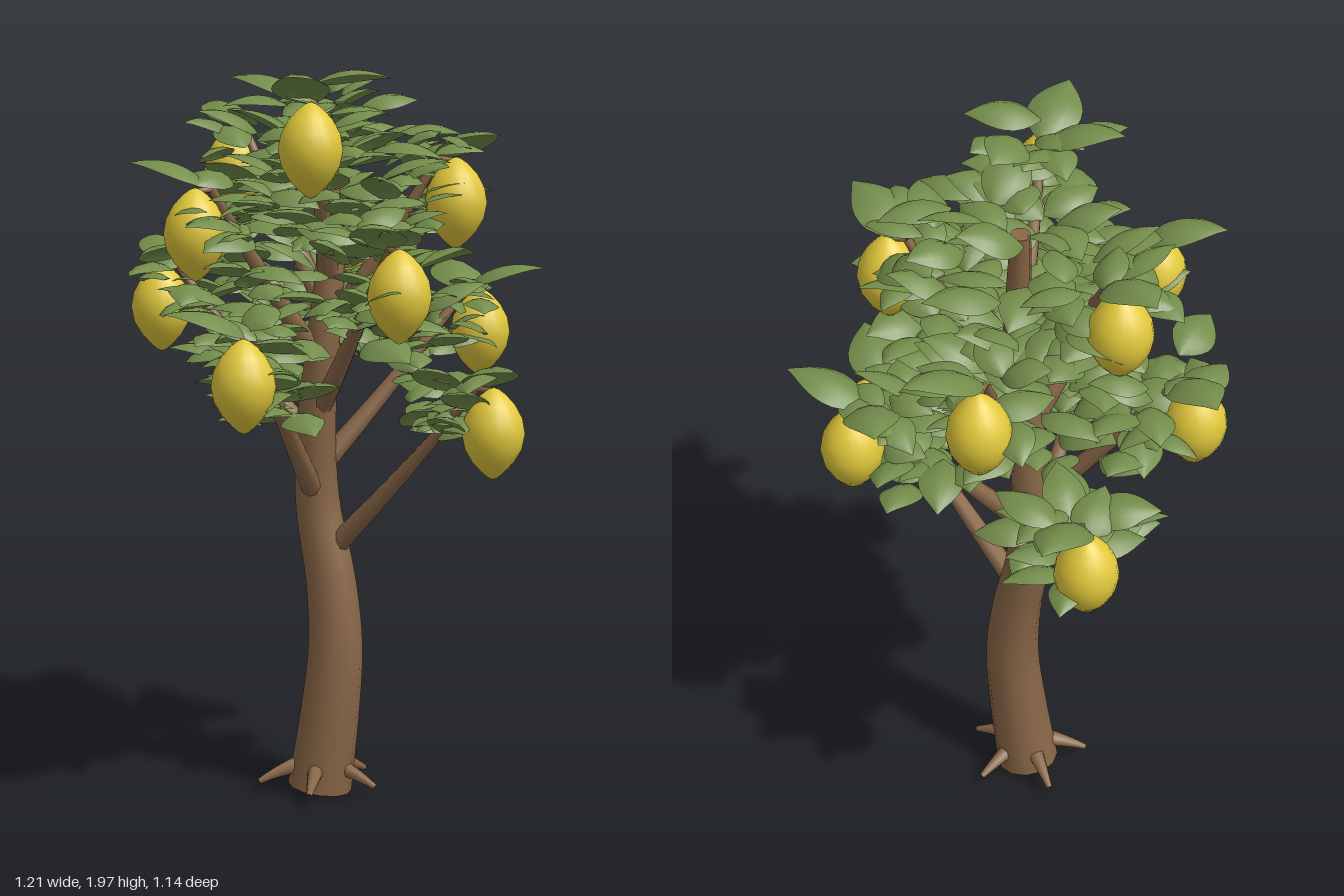
import * as THREE from 'three';
import { mergeGeometries } from 'three/addons/utils/BufferGeometryUtils.js';

const V = (x, y, z) => new THREE.Vector3(x, y, z);
const material = (name, color, side = THREE.FrontSide) => {
  const m = new THREE.MeshStandardMaterial({ color, side });
  m.name = name;
  return m;
};

// Small seeded random generator
let seed = 7;
const rand = () => {
  seed = (seed * 16807) % 2147483647;
  return seed / 2147483647;
};
const spread = (s) => (rand() * 2 - 1) * s;

// Tube whose rings shrink from r0 to r1 along the curve
function taperTube(curve, r0, r1, rings, sides) {
  const g = new THREE.TubeGeometry(curve, rings, 1, sides);
  const p = g.attributes.position;
  for (let i = 0; i <= rings; i++) {
    const c = curve.getPointAt(i / rings);
    const r = r0 + (r1 - r0) * (i / rings);
    for (let j = 0; j <= sides; j++) {
      const k = i * (sides + 1) + j;
      const v = V().fromBufferAttribute(p, k).sub(c).multiplyScalar(r).add(c);
      p.setXYZ(k, v.x, v.y, v.z);
    }
  }
  return g;
}

// Flat disc closing the end of a tube
function endCap(curve, t, r, sides) {
  const dir = curve.getTangentAt(t).multiplyScalar(t > 0.5 ? 1 : -1);
  const g = new THREE.CircleGeometry(r, sides);
  g.applyQuaternion(new THREE.Quaternion().setFromUnitVectors(V(0, 0, 1), dir));
  const c = curve.getPointAt(t);
  return g.translate(c.x, c.y, c.z);
}

// Unit-length leaf along +z: arched lengthwise, sides sloping down from the midrib
function leafGeometry() {
  const halfWidths = [0.02, 0.15, 0.24, 0.295, 0.31, 0.295, 0.25, 0.18, 0.09, 0];
  const n = halfWidths.length - 1;
  const g = new THREE.PlaneGeometry(1, 1, 4, n);
  const p = g.attributes.position;
  for (let i = 0; i <= n; i++) {
    const t = i / n;
    for (let j = 0; j < 5; j++) {
      const s = (j - 2) / 2;
      const w = halfWidths[i];
      p.setXYZ(i * 5 + j, s * w, 0.5 * t - 0.62 * t * t - 0.4 * w * s * s, t);
    }
  }
  g.computeVertexNormals();
  return g;
}

export function createModel() {
  const bark = material('bark brown', 0x896747);
  const leafGreen = material('leaf green', 0x738c4b, THREE.DoubleSide);
  const lemonYellow = material('lemon yellow', 0xe2c93c);

  const tree = new THREE.Group();
  tree.name = 'lemonTree';
  const add = (name, geometry, mat, parent = tree) => {
    const m = new THREE.Mesh(geometry, mat);
    m.name = name;
    parent.add(m);
    return m;
  };

  // Trunk: gently swaying tapered tube with closed ends
  const trunk = new THREE.CatmullRomCurve3([
    V(-0.018, 0.018, -0.013), V(0.01, 0.23, -0.02), V(0.022, 0.42, -0.03), V(0.004, 0.6, -0.035),
    V(-0.035, 0.8, -0.035), V(-0.033, 1, -0.02), V(-0.005, 1.25, -0.008), V(0.01, 1.45, -0.02),
    V(0, 1.65, -0.03), V(-0.015, 1.82, -0.045),
  ]);
  add('trunk', mergeGeometries([
    taperTube(trunk, 0.088, 0.026, 40, 12),
    endCap(trunk, 0, 0.088, 12),
    endCap(trunk, 1, 0.026, 12),
  ]), bark);
  const trunkPoints = trunk.getPoints(300);

  // Five short roots around the foot
  for (let i = 0; i < 5; i++) {
    const a = (i * Math.PI * 2) / 5;
    const at = (r, y) => V(-0.015 + Math.cos(a) * r, y, -0.012 + Math.sin(a) * r);
    const curve = new THREE.QuadraticBezierCurve3(at(0.05, 0.085), at(0.11, 0.07), at(0.17, 0.038));
    add('root', taperTube(curve, 0.026, 0.008, 6, 8), bark);
  }

  // Lemon profile with pointed ends
  const lemon = new THREE.LatheGeometry([
    [0, -0.122], [0.012, -0.117], [0.03, -0.102], [0.055, -0.075], [0.075, -0.04], [0.083, 0],
    [0.076, 0.04], [0.057, 0.075], [0.032, 0.102], [0.014, 0.115], [0, 0.12],
  ].map(([x, y]) => new THREE.Vector2(x, y)), 20);

  const leaf = leafGeometry();
  const placedLeaf = (pos, yaw, pitch, roll, length) => leaf.clone().applyMatrix4(
    new THREE.Matrix4().compose(
      pos,
      new THREE.Quaternion().setFromEuler(new THREE.Euler(-pitch, yaw, roll, 'YXZ')),
      V(length, length, length)));

  // Branches spiral up the trunk by the golden angle, each ending in a fruit.
  // reach: fruit distance from the axis; outer: directions of the longest leaves
  const reach = [0.515, 0.52, 0.475, 0.485, 0.455, 0.42, 0.43, 0.385, 0.365, 0.375, 0.34];
  const outer = [[43], [-95], [137], [-11, -128], [-143], [80], [-61], [163], [18], [-149],
    [78, 170]];
  const rad = Math.PI / 180;
  reach.forEach((r, i) => {
    const a = -137.5 * rad * i;
    const y = 1.04 + 0.0735 * i;
    const at = (d, h) => V(Math.cos(a) * d - 0.012, h, Math.sin(a) * d);
    const branch = new THREE.Group();
    branch.name = 'branch' + (i + 1);
    tree.add(branch);

    const base = trunkPoints.find((p) => p.y >= 0.665 + 0.075 * i).clone();
    const tip = at(r - 0.05, y + 0.115);
    const middle = base.clone().lerp(tip, 0.55);
    middle.y -= 0.02;
    const curve = new THREE.QuadraticBezierCurve3(base, middle, tip);
    add('limb', taperTube(curve, 0.031, 0.011, 12, 8), bark, branch);

    const fruit = add('lemon', lemon, lemonYellow, branch);
    fruit.position.copy(at(r, y));
    const stem = new THREE.LineCurve3(tip, at(r, y + 0.11));
    add('stem', taperTube(stem, 0.009, 0.007, 1, 6), bark, branch);

    // Leaves surround the outer part of the branch, reaching further in on high branches
    const leaves = [];
    const inner = 0.55 - 0.025 * i;
    for (let k = 0; k < 27; k++) {
      const t = inner + (1 - inner) * rand();
      const pos = curve.getPoint(t);
      pos.add(V(spread(0.085), 0.015 + spread(0.06), spread(0.085)));
      pos.y = Math.max(pos.y, 1.04);
      // Leaves near the tip lean to the sides and back, leaving the fruit in view
      const turn = t > 0.8 ? (rand() < 0.5 ? -1 : 1) * (1 + 2.1 * rand()) : spread(1.9);
      const length = 0.14 + rand() * 0.06;
      leaves.push(placedLeaf(pos, Math.PI / 2 - a + turn, 0.2 + spread(0.3), spread(0.4), length));
    }
    outer[i].forEach((deg) =>
      leaves.push(placedLeaf(tip, Math.PI / 2 - deg * rad, 0.4, spread(0.15), 0.235)));
    add('leaves', mergeGeometries(leaves), leafGreen, branch);
  });

  // Inner crown: leaves ringing the trunk between the branches
  const crown = [];
  for (let k = 0; k < 100; k++) {
    const a = k * 137.5 * rad;
    const r = 0.04 + 0.24 * rand();
    const pos = V(Math.cos(a) * r, 1.22 + 0.64 * (k / 100) + spread(0.03), Math.sin(a) * r);
    const yaw = Math.PI / 2 - a + spread(1.3);
    crown.push(placedLeaf(pos, yaw, 0.25 + spread(0.3), spread(0.4), 0.15 + rand() * 0.06));
  }
  add('crownLeaves', mergeGeometries(crown), leafGreen);

  return tree;
}
